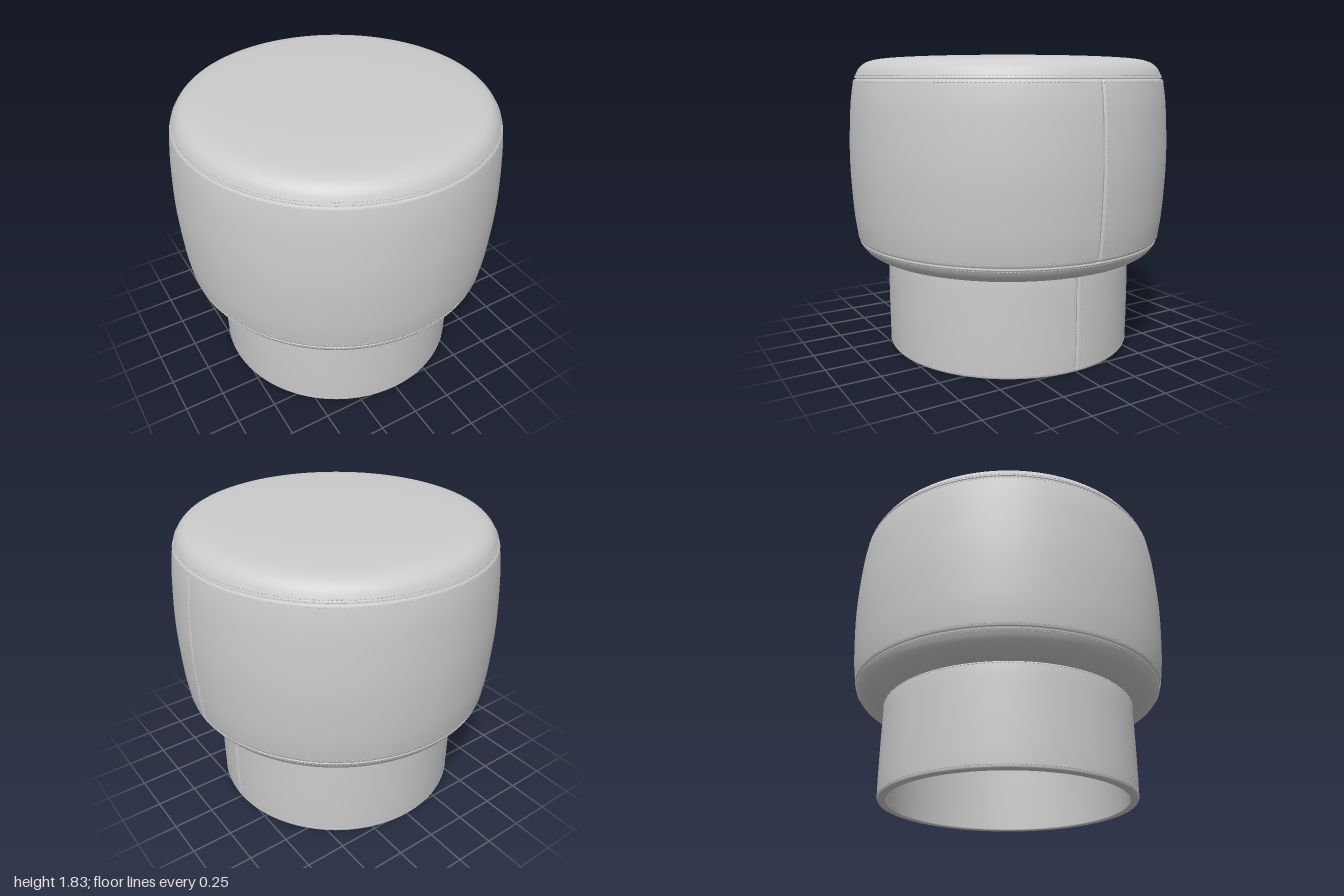
import * as THREE from 'three';
import { mergeGeometries } from 'three/addons/utils/BufferGeometryUtils.js';

const material = new THREE.MeshStandardMaterial({ color: 0xcccccc });
const vec = (x, y) => new THREE.Vector2(x, y);
const curve = (pts, n) => new THREE.SplineCurve(pts.map(p => vec(...p))).getPoints(n);

// Revolve a profile, pack segments near +x and press a vertical seam there
function upholster(profile, inSeam) {
  const geo = new THREE.LatheGeometry(profile, 192);
  const pos = geo.attributes.position, uv = geo.attributes.uv;
  for (let i = 0; i < pos.count; i++) {
    const s = 2 * uv.getX(i) - 1, d = 1 - Math.abs(s);
    const a = Math.PI * (0.15 * d + 0.85 * d * d);
    let r = Math.hypot(pos.getX(i), pos.getZ(i));
    if (inSeam(r, pos.getY(i))) r -= 0.009 * Math.exp(-((a / 0.007) ** 2));
    const side = s < 0 ? -1 : 1;
    pos.setXYZ(i, r * Math.cos(a), pos.getY(i), side * r * Math.sin(a));
  }
  geo.computeVertexNormals();
  return geo;
}

// One thread stitch lying along its local y axis
const stitch = new THREE.CylinderGeometry(0.0028, 0.0028, 0.012, 5);

function stitchRing(r, y, count = 270) {
  const list = [];
  for (let i = 0; i < count; i++) {
    list.push(stitch.clone().rotateX(Math.PI / 2).translate(r, y, 0)
      .rotateY((i + 0.5) / count * Math.PI * 2));
  }
  return mergeGeometries(list);
}

function stitchColumn(radiusAt, y0, y1, z) {
  const list = [], count = Math.round((y1 - y0) / 0.021);
  for (let i = 0; i <= count; i++) {
    const y = y0 + (y1 - y0) * i / count, r = radiusAt(y);
    list.push(stitch.clone().translate(Math.sqrt(r * r - z * z), y, z));
  }
  return mergeGeometries(list);
}

// Radius of a rising profile at a given height
function radiusOn(points) {
  return y => {
    const i = Math.max(1, points.findIndex(p => p.y >= y));
    const a = points[i - 1], b = points[i];
    return a.x + (b.x - a.x) * (y - a.y) / (b.y - a.y);
  };
}

export function createModel() {
  const group = new THREE.Group();
  const add = (name, geo) => {
    const mesh = new THREE.Mesh(geo, material);
    mesh.name = name;
    group.add(mesh);
  };

  // Cushion: bottom panel, side band and top panel meeting in sewn grooves
  const bottom = curve([[0.7, 0.586], [0.8, 0.591], [0.87, 0.606], [0.925, 0.642], [0.953, 0.685], [0.957, 0.695]], 20);
  const band = curve([[0.959, 0.705], [0.968, 0.74], [0.987, 0.9], [1, 1.2], [0.987, 1.5], [0.968, 1.65], [0.959, 1.68]], 28);
  const top = curve([[0.957, 1.69], [0.953, 1.7], [0.925, 1.75], [0.87, 1.788], [0.75, 1.808], [0.45, 1.82], [0, 1.826]], 28);
  const cushion = [vec(0, 0.58), ...bottom, vec(0.946, 0.7), ...band, vec(0.946, 1.685), ...top];
  add('cushion', upholster(cushion, (r, y) => r > 0.9 && y > 0.7 && y < 1.685));

  // Hollow base sleeve with its closed inner ceiling
  const base = [
    [0, 0.55], [0.72, 0.55], [0.727, 0.55], [0.727, 0.543], [0.727, 0.3], [0.727, 0.008],
    [0.727, 0], [0.735, 0], [0.765, 0], [0.772, 0.002], [0.776, 0.008], [0.777, 0.02],
    [0.78, 0.1], [0.781, 0.3], [0.78, 0.5], [0.779, 0.575], [0.774, 0.59], [0.74, 0.595],
  ].map(p => vec(...p));
  add('base', upholster(base, r => r > 0.77));

  // Stitching either side of the cushion's ring seams and along the base edges
  add('topPanelStitching', stitchRing(0.952, 1.704));
  add('bandUpperStitching', stitchRing(0.964, 1.668));
  add('bandLowerStitching', stitchRing(0.963, 0.72));
  add('bottomPanelStitching', stitchRing(0.951, 0.682));
  add('baseUpperStitching', stitchRing(0.779, 0.58, 220));
  add('baseLowerStitching', stitchRing(0.777, 0.02, 220));

  // Stitching either side of the vertical seams
  for (const s of [-1, 1]) {
    const label = s > 0 ? 'Front' : 'Back';
    add('cushionSeamStitching' + label, stitchColumn(radiusOn(band), 0.73, 1.66, s * 0.017));
    add('baseSeamStitching' + label, stitchColumn(() => 0.78, 0.03, 0.57, s * 0.025));
  }
  return group;
}
